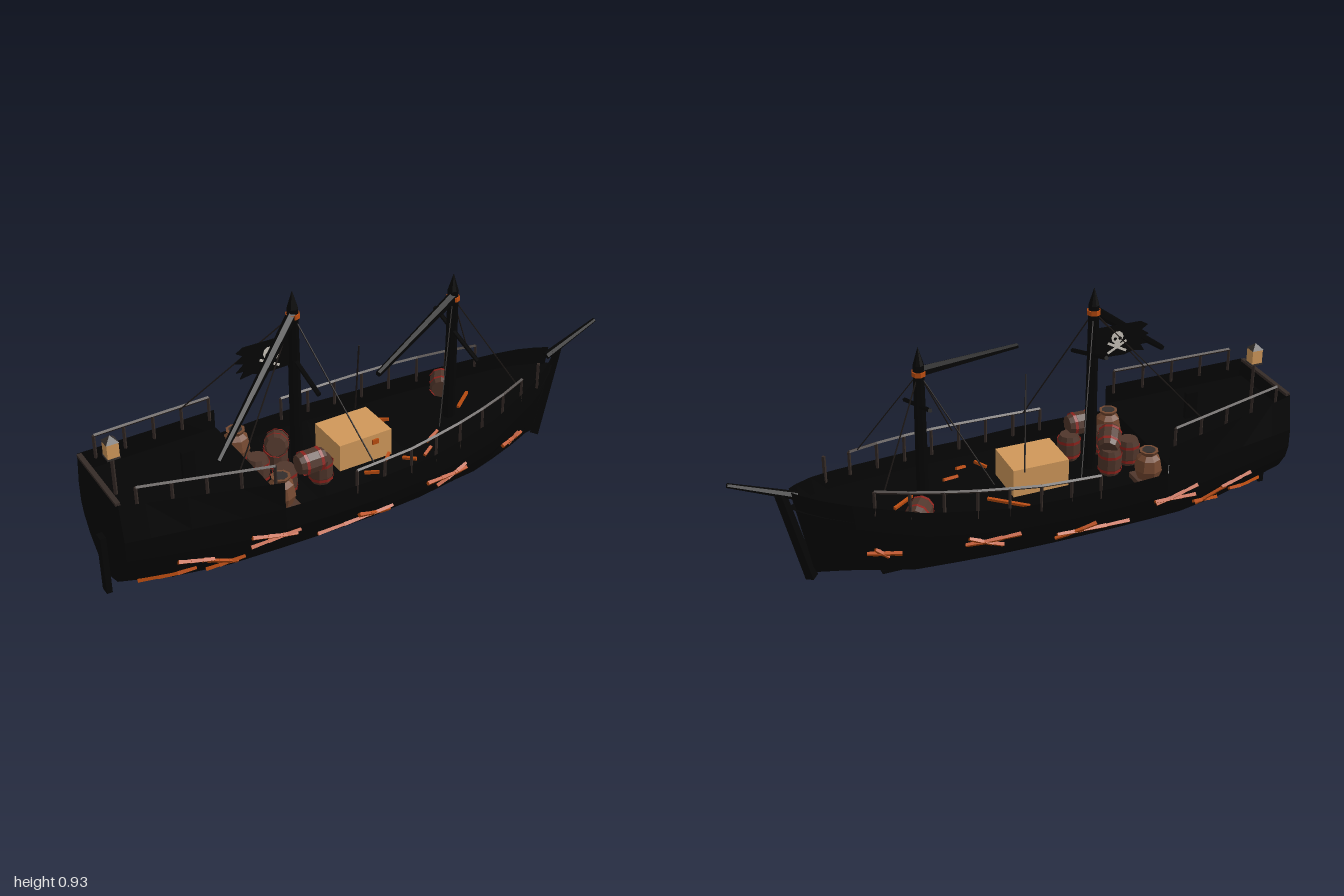
import * as THREE from 'three';

const mat = (name, color) => {
  const m = new THREE.MeshStandardMaterial({ color, side: THREE.DoubleSide, flatShading: true });
  m.name = name;
  return m;
};
const V = (x, y, z) => new THREE.Vector3(x, y, z);

// Linear interpolation through [key, value] pairs
const table = (pts) => (x) => {
  if (x <= pts[0][0]) return pts[0][1];
  for (let i = 1; i < pts.length; i++) {
    const [a, va] = pts[i - 1], [b, vb] = pts[i];
    if (x <= b) return va + (vb - va) * (x - a) / (b - a);
  }
  return pts[pts.length - 1][1];
};

// Hull lines: half beam, main sheer, raised stern sheer and its beam, keel height, section fullness
const beam = table([[-0.98, 0.186], [-0.9, 0.198], [-0.8, 0.21], [-0.6, 0.237], [-0.4, 0.255], [-0.2, 0.264], [0, 0.26],
  [0.2, 0.238], [0.4, 0.198], [0.6, 0.13], [0.7, 0.083], [0.76, 0.042], [0.79, 0.014]]);
const sheer = table([[-0.98, 0.34], [-0.46, 0.31], [0.1, 0.305], [0.4, 0.328], [0.6, 0.36], [0.79, 0.393]]);
const sternSheer = table([[-0.98, 0.465], [-0.46, 0.41]]);
const sternBeam = table([[-0.98, 0.165], [-0.46, 0.25]]);
const keelY = table([[-0.98, 0.09], [-0.77, 0.032], [-0.6, 0.008], [0.4, 0.005], [0.55, 0.02], [0.7, 0.045], [0.79, 0.06]]);
const ribs = [[0, 0], [0.02, 0.1], [0.1, 0.42], [0.31, 0.73], [0.54, 0.93], [0.72, 1], [1, 1]];
const fullness = table(ribs);
const hullZ = (x, y) => beam(x) * fullness((y - keelY(x)) / (sheer(x) - keelY(x)));
const deckY = (x) => sheer(x) - 0.065;

// Skin a row of equally long cross-sections
function loft(sections) {
  const n = sections[0].length, pos = [], index = [];
  sections.forEach((s) => s.forEach((p) => pos.push(p.x, p.y, p.z)));
  for (let i = 0; i < sections.length - 1; i++)
    for (let j = 0; j < n - 1; j++) {
      const a = i * n + j, b = a + n;
      index.push(a, b, a + 1, b, b + 1, a + 1);
    }
  const g = new THREE.BufferGeometry();
  g.setAttribute('position', new THREE.Float32BufferAttribute(pos, 3));
  g.setIndex(index);
  g.computeVertexNormals();
  return g;
}

export function createModel() {
  const root = new THREE.Group();
  root.name = 'ship';
  const black = mat('blackTimber', 0x050505), brown = mat('railBrown', 0x352b27), orange = mat('orangeWood', 0xba4c10);
  const tan = mat('crateTan', 0xd0985a), barrelBrown = mat('barrelBrown', 0x50362b), red = mat('barrelRed', 0x8c221c);
  const bone = mat('boneWhite', 0xc9c4ba), clay = mat('clayBrown', 0x744830), iron = mat('ironGrey', 0x332e2c);
  const rope = mat('darkRope', 0x1d1816);

  const add = (name, geo, m, p = V(0, 0, 0), parent = root) => {
    const mesh = new THREE.Mesh(geo, m);
    mesh.name = name;
    mesh.position.copy(p);
    parent.add(mesh);
    return mesh;
  };
  const box = (name, w, h, d, m, p, parent) => add(name, new THREE.BoxGeometry(w, h, d), m, p, parent);
  // Round or square bar from a to b
  const bar = (name, a, b, ra, rb, m, sides = 6) => {
    const mesh = add(name, new THREE.CylinderGeometry(rb, ra, a.distanceTo(b), sides), m, a.clone().lerp(b, 0.5));
    mesh.quaternion.setFromUnitVectors(V(0, 1, 0), b.clone().sub(a).normalize());
    return mesh;
  };

  // Hull shell with raked bow
  const section = (x) => {
    const half = ribs.map(([f, w]) => V(x - 0.06 * (1 - f) * Math.max(0, (x - 0.4) / 0.39),
      keelY(x) + (sheer(x) - keelY(x)) * f, beam(x) * w));
    return [...half.slice().reverse(), ...half.slice(1).map((p) => V(p.x, p.y, -p.z))];
  };
  const xs = [-0.98, -0.9, -0.77, -0.6, -0.46, -0.3, -0.1, 0.1, 0.25, 0.4, 0.52, 0.62, 0.7, 0.76, 0.79];
  add('hull', loft(xs.map(section)), black);
  const stern = section(-0.98);
  add('transom', loft([stern, stern.map((p) => V(p.x, p.y, 0))]), black);
  add('transomTop', loft([[V(-0.98, 0.34, -0.186), V(-0.98, 0.34, 0.186)], [V(-0.98, 0.465, -0.165), V(-0.98, 0.465, 0.165)]]), black);
  box('transomCap', 0.016, 0.01, 0.31, brown, V(-0.977, 0.465, 0));

  // Decks, step between them, and raised stern sides
  const span = (x, y, b) => [V(x, y, -b * 0.98), V(x, y, b * 0.98)];
  add('mainDeck', loft(xs.slice(4).map((x) => span(x, deckY(x), beam(x)))), black);
  add('sternDeck', loft(xs.slice(0, 5).map((x) => span(x, sternSheer(x) - 0.07, sternBeam(x)))), black);
  add('deckStep', loft([span(-0.46, 0.24, 0.25), span(-0.46, 0.34, 0.25)]), black);
  for (const s of [1, -1])
    add('sternSide', loft(xs.slice(0, 5).map((x) => [V(x, sheer(x), s * beam(x)), V(x, sternSheer(x), s * sternBeam(x))])), black);

  // Keel, stem, rudder, bowsprit
  box('keel', 1.27, 0.012, 0.03, black, V(-0.135, 0.006, 0));
  bar('stem', V(0.742, 0.045, 0), V(0.822, 0.385, 0), 0.022, 0.02, black, 4);
  box('rudder', 0.02, 0.22, 0.035, black, V(-0.99, 0.14, 0));
  bar('bowsprit', V(0.77, 0.37, 0), V(0.988, 0.458, 0), 0.015, 0.008, black);

  // Railings on both sides
  const railing = (x0, x1, n, base, top, side) => {
    const at = (i, f) => { const x = x0 + (x1 - x0) * i / n; return V(x, f(x), side(x)); };
    for (let i = 0; i <= n; i++) {
      bar('railPost', at(i, (x) => base(x) - 0.03), at(i, top), 0.006, 0.006, brown, 4);
      if (i < n) bar('handRail', at(i, top), at(i + 1, top), 0.006, 0.006, brown, 4);
    }
  };
  const sternTop = table([[-0.92, 0.513], [-0.485, 0.474]]);
  const mainTop = table([[-0.2, 0.365], [0, 0.37], [0.55, 0.41]]);
  for (const s of [1, -1]) {
    railing(-0.92, -0.485, 4, sternSheer, sternTop, (x) => s * (sternBeam(x) - 0.01));
    railing(-0.2, 0.55, 7, sheer, mainTop, (x) => s * (beam(x) - 0.006));
  }
  bar('bowPost', V(0.645, 0.33, 0.11), V(0.645, 0.43, 0.11), 0.007, 0.007, brown, 4);

  // Masts with pointed tips, orange bands, booms, cross spars and shrouds
  const mast = (x, top, bandY, boomEnd, sparY, stays) => {
    bar('mast', V(x, 0.2, 0), V(x, top - 0.06, 0), 0.023, 0.019, black, 8);
    bar('mastTip', V(x, top - 0.06, 0), V(x, top, 0), 0.019, 0.001, black, 8);
    add('mastBand', new THREE.CylinderGeometry(0.024, 0.024, 0.016, 8), orange, V(x, bandY, 0));
    bar('boom', V(x, bandY + 0.005, 0), boomEnd, 0.019, 0.01, black);
    bar('crossSpar', V(x, sparY, 0.16), V(x, sparY + 0.088, -0.105), 0.008, 0.008, black);
    for (const [ex, ey, ez] of stays)
      for (const s of [1, -1])
        bar('shroud', V(x, bandY, 0), V(ex, ey, s * ez), 0.0024, 0.0024, rope, 4);
  };
  mast(-0.28, 0.925, 0.84, V(-0.665, 0.545, 0.215), 0.628, [[-0.6, 0.475, 0.215], [-0.13, 0.365, 0.25]]);
  mast(0.34, 0.82, 0.73, V(-0.085, 0.663, 0.2), 0.557, [[0.16, 0.38, 0.2], [0.52, 0.405, 0.15]]);
  bar('looseRope', V(-0.035, 0.655, 0), V(0.01, 0.34, -0.1), 0.003, 0.003, rope, 4);

  // Ragged flag with bone emblem on both faces
  const flag = new THREE.Shape([[-0.29, 0.665], [-0.29, 0.775], [-0.46, 0.775], [-0.485, 0.76], [-0.462, 0.745], [-0.49, 0.725],
    [-0.458, 0.715], [-0.488, 0.69], [-0.46, 0.69], [-0.475, 0.665], [-0.43, 0.672], [-0.4, 0.662]].map(([x, y]) => new THREE.Vector2(x, y)));
  add('flag', new THREE.ExtrudeGeometry(flag, { depth: 0.005, bevelEnabled: false }), black, V(0, 0, -0.0025));
  for (const s of [1, -1]) {
    const g = new THREE.Group();
    g.name = 'flagEmblem';
    g.position.set(-0.37, 0.716, s * 0.004);
    root.add(g);
    add('skull', new THREE.CircleGeometry(0.023, 10), bone, V(0, 0.016, 0), g);
    box('jaw', 0.022, 0.024, 0.001, bone, V(0, -0.008, 0), g);
    for (const e of [1, -1]) {
      add('eye', new THREE.CircleGeometry(0.0065, 6), black, V(e * 0.009, 0.012, s * 0.002), g);
      box('crossBone', 0.08, 0.009, 0.001, bone, V(0, -0.02, -s * 0.0005), g).rotation.z = e * 0.5;
    }
  }

  // Orange splintered planks along both sides of the hull
  const scars = [[-0.92, 0.11, -0.75, 0.145], [-0.82, 0.21, -0.7, 0.18], [-0.72, 0.18, -0.61, 0.12], [-0.71, 0.11, -0.59, 0.145],
    [-0.58, 0.235, -0.42, 0.195], [-0.58, 0.19, -0.41, 0.212], [-0.33, 0.137, -0.05, 0.16], [-0.19, 0.18, -0.05, 0.133],
    [0.085, 0.202, 0.27, 0.182], [0.14, 0.16, 0.26, 0.21], [0.47, 0.165, 0.58, 0.168], [0.51, 0.15, 0.555, 0.188]];
  for (const s of [1, -1])
    for (const [x0, y0, x1, y1] of scars)
      for (let i = 0; i < 3; i++) {
        const at = (t) => { const x = x0 + (x1 - x0) * t, y = y0 + (y1 - y0) * t; return V(x, y, s * (hullZ(x, y) + 0.005)); };
        bar('splinter', at(i / 3), at((i + 1) / 3), 0.009, 0.007, orange, 4);
      }
  // Broken planks on the deck
  for (const [x0, z0, x1, z1] of [[0.02, -0.17, 0.14, -0.085], [0.0, 0.115, 0.03, 0.09], [0.06, 0.13, 0.09, 0.17], [0.18, 0.1, 0.24, 0.075],
    [0.13, 0.16, 0.17, 0.14], [0.46, -0.06, 0.38, 0.0], [-0.1, 0.14, -0.06, 0.17]])
    bar('deckSplinter', V(x0, deckY(x0) + 0.008, z0), V(x1, deckY(x1) + 0.015, z1), 0.007, 0.007, orange, 4);

  // Crate with latch
  box('crate', 0.205, 0.105, 0.167, tan, V(-0.058, 0.291, -0.002));
  box('crateLatch', 0.024, 0.018, 0.008, orange, V(-0.022, 0.317, 0.084));

  // Barrels with red hoops
  const stave = [[0, -0.048], [0.033, -0.048], [0.042, -0.02], [0.042, 0.02], [0.033, 0.048], [0, 0.048]].map(([r, y]) => new THREE.Vector2(r, y));
  const barrel = (x, y, z, rx = 0, rz = 0) => {
    const g = new THREE.Group();
    g.name = 'barrel';
    g.position.set(x, y, z);
    g.rotation.set(rx, 0, rz);
    root.add(g);
    add('staves', new THREE.LatheGeometry(stave, 10), barrelBrown, V(0, 0, 0), g);
    for (const h of [-0.027, 0.027])
      add('hoop', new THREE.CylinderGeometry(0.043, 0.043, 0.011, 10, 1, true), red, V(0, h, 0), g);
  };
  barrel(-0.42, 0.29, -0.02);
  barrel(-0.33, 0.29, -0.06);
  barrel(-0.37, 0.29, 0.08);
  barrel(-0.24, 0.29, 0.09);
  barrel(-0.295, 0.357, 0.12, 0, Math.PI / 2);
  barrel(-0.34, 0.357, -0.03, 1.2, 0.5);
  barrel(0.4, 0.3, -0.14, Math.PI / 2, 0.6);

  // Clay pots near the step
  const pot = [[0, 0], [0.034, 0], [0.05, 0.045], [0.042, 0.085], [0.026, 0.1], [0.034, 0.115], [0.022, 0.115]].map(([r, y]) => new THREE.Vector2(r, y));
  for (const z of [-0.165, 0.155]) {
    add('pot', new THREE.LatheGeometry(pot, 8), clay, V(-0.425, 0.252, z));
    add('potLid', new THREE.CylinderGeometry(0.024, 0.024, 0.012, 8), iron, V(-0.425, 0.362, z));
    box('potStand', 0.096, 0.03, 0.096, barrelBrown, V(-0.425, 0.248, z));
  }

  // Helm stand and stern lantern
  box('helm', 0.045, 0.1, 0.016, black, V(-0.675, 0.412, 0));
  bar('lanternPost', V(-0.925, 0.38, 0), V(-0.925, 0.535, 0), 0.007, 0.007, brown, 4);
  box('lanternGlass', 0.04, 0.052, 0.04, tan, V(-0.925, 0.561, 0));
  box('lanternBase', 0.044, 0.006, 0.044, iron, V(-0.925, 0.533, 0));
  add('lanternRoof', new THREE.ConeGeometry(0.031, 0.022, 4), iron, V(-0.925, 0.598, 0)).rotation.y = Math.PI / 4;

  return root;
}
